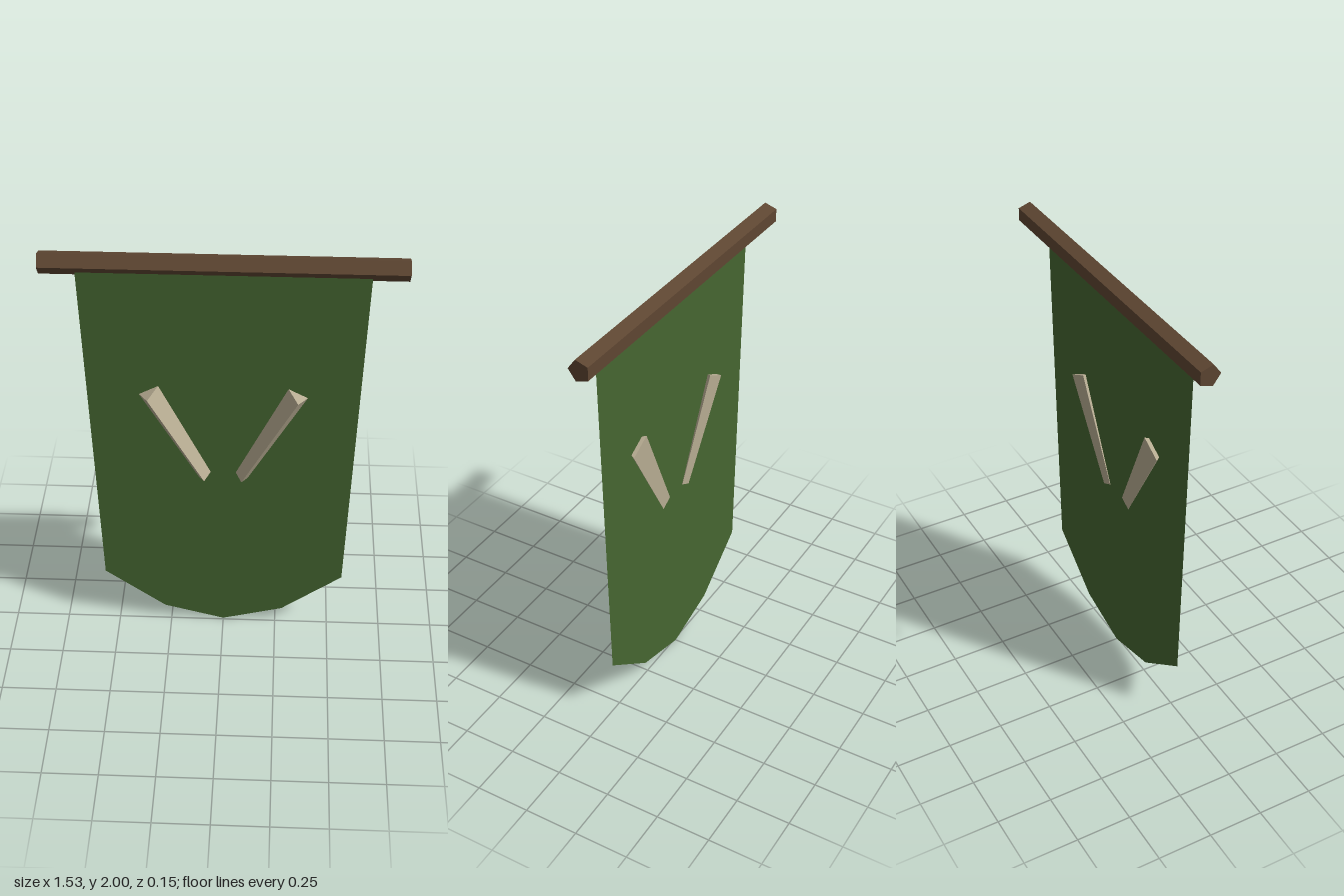
import * as THREE from 'three';

const material = (name, color, extra = {}) => {
  const m = new THREE.MeshStandardMaterial({ color, flatShading: true, ...extra });
  m.name = name;
  return m;
};

export function createModel() {
  const group = new THREE.Group();
  group.name = 'hangingBanner';
  const wood = material('dark wood', 0x5e4632);
  const green = material('green cloth', 0x466631, { side: THREE.DoubleSide });
  const bone = material('bone', 0xb8ad93);

  const add = (name, geometry, mat) => {
    const mesh = new THREE.Mesh(geometry, mat);
    mesh.name = name;
    group.add(mesh);
    return mesh;
  };

  // Five-sided pole, one edge facing forward
  const pole = add('pole', new THREE.CylinderGeometry(0.05, 0.05, 1.53, 5), wood);
  pole.rotation.z = Math.PI / 2;
  pole.position.set(0, 1.952, -0.035);

  // Flat cloth, tapering to a rounded point, its top hidden in the pole
  const half = [[0.613, 1.95], [0.56, 0.285], [0.28, 0.075]];
  const outline = [
    ...half,
    [0, 0],
    ...half.map(([x, y]) => [-x, y]).reverse(),
  ].map(([x, y]) => new THREE.Vector2(x, y));
  const cloth = add('cloth', new THREE.ShapeGeometry(new THREE.Shape(outline)), green);
  cloth.position.z = -0.008;

  // Two tapered three-sided tusks set through the cloth in a V
  for (const [name, side] of [['leftTusk', 1], ['rightTusk', -1]]) {
    const tusk = add(name, new THREE.CylinderGeometry(0.067, 0.037, 0.515, 3), bone);
    tusk.position.set(side * 0.204, 1.113, 0.008);
    tusk.rotation.z = -side * 0.487;
  }

  return group;
}
